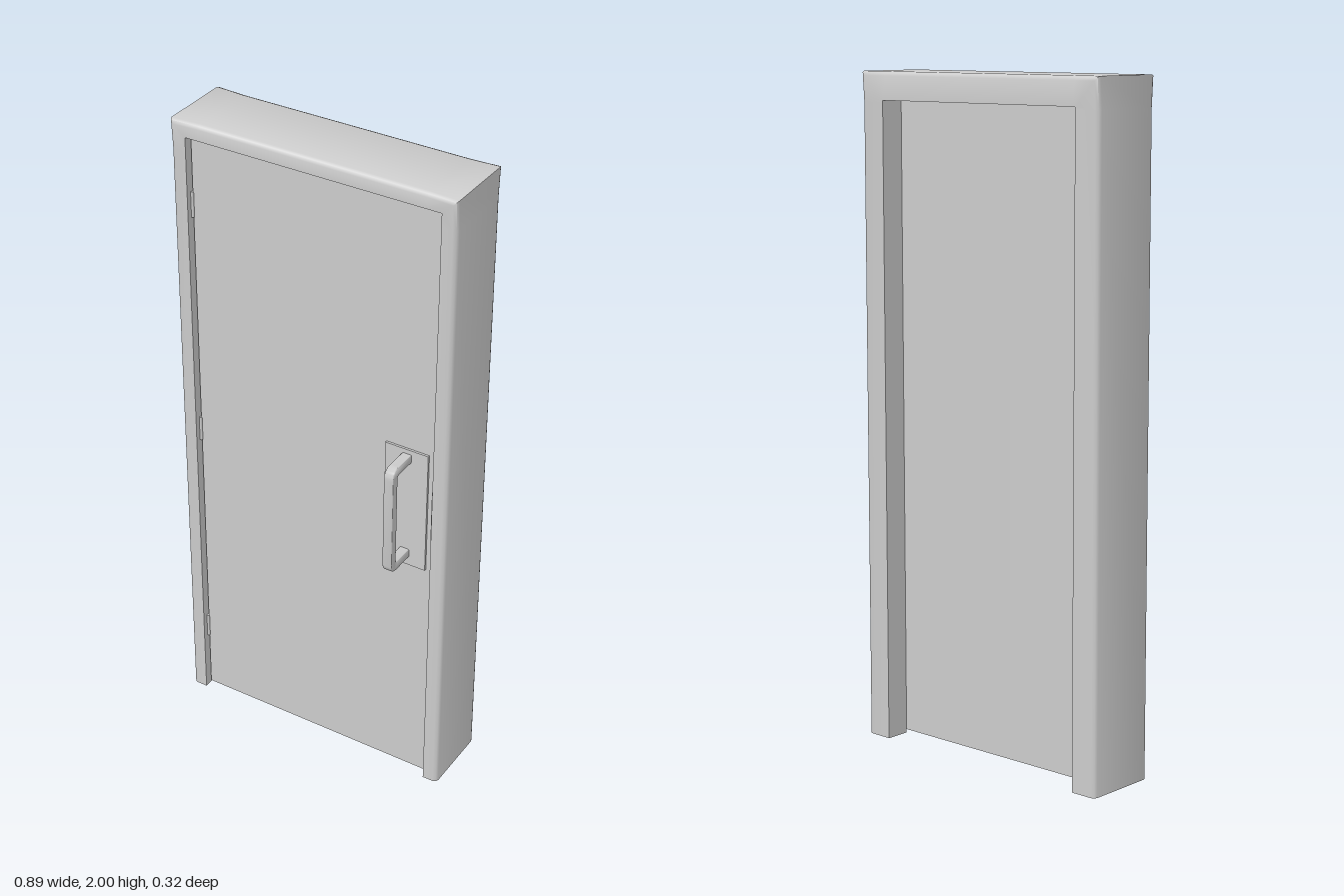
import * as THREE from 'three';
import { toCreasedNormals } from 'three/addons/utils/BufferGeometryUtils.js';

const material = new THREE.MeshStandardMaterial({ color: 0xcccccc });
const W = 0.447, H = 2;

// Jamb cross-section: [inset from the outer edge, z], with a rebate for the door
const PROFILE = [
  [0, -0.143], [0.004, -0.152], [0.013, -0.156], [0.083, -0.156], [0.083, -0.08],
  [0.047, -0.08], [0.047, 0.077], [0.013, 0.077], [0.004, 0.073], [0, 0.064],
];

function box(name, x0, x1, y0, y1, z0, z1) {
  const mesh = new THREE.Mesh(new THREE.BoxGeometry(x1 - x0, y1 - y0, z1 - z0), material);
  mesh.position.set((x0 + x1) / 2, (y0 + y1) / 2, (z0 + z1) / 2);
  mesh.name = name;
  return mesh;
}

// Profile swept up one jamb, across the head and down the other, flaring at the mitres
function frameGeometry() {
  const flare = (d, z) => z + Math.sign(z) * 0.006 * Math.max(0, 1 - d / 0.047);
  const half = [
    (d, z) => [W - d, 0, z],
    (d, z) => [W - d, 1.91, z],
    (d, z) => [W - d, H - d, flare(d, z)],
    (d, z) => [W - 0.09, H - d, z],
  ];
  const mirrored = half.map(f => (d, z) => {
    const [x, y, w] = f(d, z);
    return [-x, y, w];
  }).reverse();
  const sections = [...half, ...mirrored];
  const n = PROFILE.length;
  const positions = sections.flatMap(f => PROFILE.flatMap(([d, z]) => f(d, z)));
  const index = [];
  for (let s = 0; s < sections.length - 1; s++) {
    for (let i = 0; i < n; i++) {
      const a = s * n + i, b = s * n + (i + 1) % n;
      index.push(a, b, a + n, b, b + n, a + n);
    }
  }
  // Close both feet
  const outline = PROFILE.map(([d, z]) => new THREE.Vector2(d, z));
  const last = (sections.length - 1) * n;
  for (const [a, b, c] of THREE.ShapeUtils.triangulateShape(outline, [])) {
    const ccw = THREE.ShapeUtils.area([outline[a], outline[b], outline[c]]) > 0;
    const [u, v, w] = ccw ? [a, c, b] : [a, b, c];
    index.push(u, v, w, last + u, last + w, last + v);
  }
  const geometry = new THREE.BufferGeometry();
  geometry.setAttribute('position', new THREE.Float32BufferAttribute(positions, 3));
  geometry.setIndex(index);
  return toCreasedNormals(geometry, 0.9);
}

// Pull handle: a flat-sided bar with rounded bends, drawn in (-z, y) and extruded along x
function handleGeometry() {
  const bevel = 0.004, back = -0.054;
  const front = -0.163 + bevel, top = 1.161 - bevel, bottom = 0.804 + bevel;
  const t = 0.028 - 2 * bevel, r = 0.03, q = 0.012;
  const shape = new THREE.Shape();
  shape.moveTo(back, top);
  shape.lineTo(front + r, top);
  shape.quadraticCurveTo(front, top, front, top - r);
  shape.lineTo(front, bottom + r);
  shape.quadraticCurveTo(front, bottom, front + r, bottom);
  shape.lineTo(back, bottom);
  shape.lineTo(back, bottom + t);
  shape.lineTo(front + t + q, bottom + t);
  shape.quadraticCurveTo(front + t, bottom + t, front + t, bottom + t + q);
  shape.lineTo(front + t, top - t - q);
  shape.quadraticCurveTo(front + t, top - t, front + t + q, top - t);
  shape.lineTo(back, top - t);
  shape.closePath();
  const geometry = new THREE.ExtrudeGeometry(shape, {
    depth: 0.03 - 2 * bevel, curveSegments: 8,
    bevelSize: bevel, bevelThickness: bevel, bevelSegments: 3,
  });
  geometry.translate(0, 0, bevel - 0.015);
  geometry.rotateY(Math.PI / 2);
  return toCreasedNormals(geometry, 0.9);
}

export function createModel() {
  const model = new THREE.Group();
  model.name = 'door';

  const frame = new THREE.Mesh(frameGeometry(), material);
  frame.name = 'frame';
  model.add(frame);

  // Door leaf, with a thin gap to the frame
  model.add(box('leaf', -0.396, 0.393, 0.01, 1.943, -0.079, 0.055));

  // Handle and its backing plate
  model.add(box('handlePlate', 0.237, 0.375, 0.777, 1.175, 0.05, 0.062));
  const handle = new THREE.Mesh(handleGeometry(), material);
  handle.position.x = 0.307;
  handle.name = 'handle';
  model.add(handle);

  // Hinge knuckles on one edge, strike plate on the other
  for (const y of [0.24, 0.99, 1.74]) {
    const hinge = new THREE.Mesh(new THREE.CylinderGeometry(0.005, 0.005, 0.08, 10), material);
    hinge.position.set(-0.398, y, 0.056);
    hinge.name = 'hinge';
    model.add(hinge);
  }
  model.add(box('strikePlate', 0.395, 0.402, 0.9, 1.065, 0.02, 0.07));

  return model;
}
